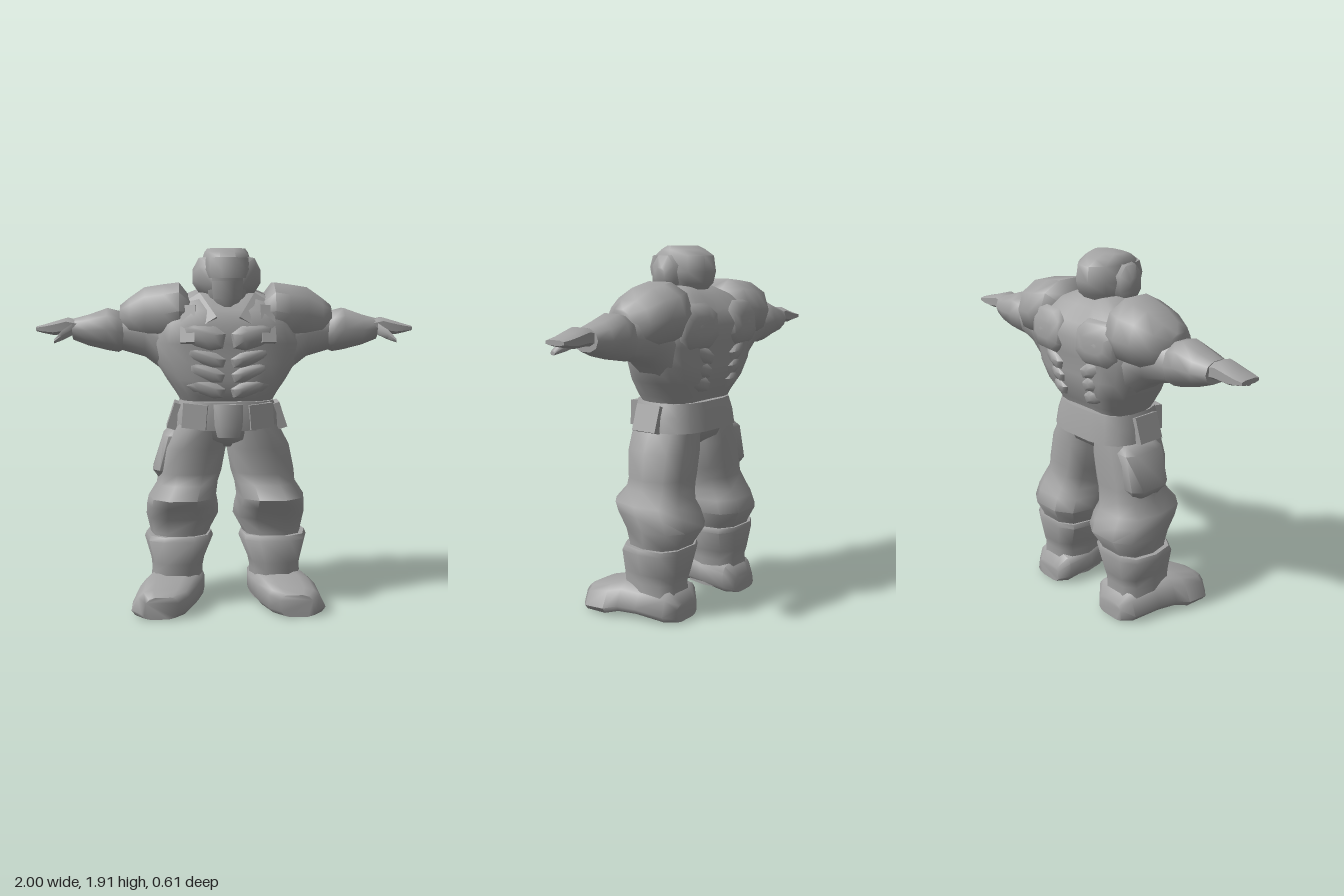
import * as THREE from 'three';
import { toCreasedNormals } from 'three/addons/utils/BufferGeometryUtils.js';

const grey = new THREE.MeshStandardMaterial({ color: 0xa3a3a3 });
grey.name = 'grey';

// For each loft axis: the two axes of the section plane, in winding order
const AXES = { x: ['y', 'z'], y: ['z', 'x'], z: ['x', 'y'] };

// Skin over sections [position, uMin, uMax, vMin, vMax]; n sets how square they are
function loft(axis, sections, { sides = 12, n = 2.5, shape = null } = {}) {
  const [u, v] = AXES[axis], pos = [], idx = [], p = new THREE.Vector3();
  const round = (t) => Math.sign(t) * Math.abs(t) ** (2 / n);
  const reach = round(Math.cos(Math.PI / sides));
  for (const [at, u0, u1, v0, v1] of sections) {
    for (let j = 0; j < sides; j++) {
      const a = ((j + 0.5) / sides) * Math.PI * 2;
      p[axis] = at;
      p[u] = (u0 + u1) / 2 + ((u1 - u0) / 2) * round(Math.cos(a)) / reach;
      p[v] = (v0 + v1) / 2 + ((v1 - v0) / 2) * round(Math.sin(a));
      if (shape) shape(p);
      pos.push(p.x, p.y, p.z);
    }
  }
  for (let i = 0; i < sections.length - 1; i++) {
    for (let j = 0; j < sides; j++) {
      const a = i * sides + j, b = i * sides + (j + 1) % sides;
      idx.push(a, b, a + sides, b, b + sides, a + sides);
    }
  }
  const end = (sections.length - 1) * sides;
  for (let j = 1; j < sides - 1; j++) idx.push(0, j + 1, j, end, end + j, end + j + 1);
  const geo = new THREE.BufferGeometry();
  geo.setAttribute('position', new THREE.Float32BufferAttribute(pos, 3));
  geo.setIndex(idx);
  return geo;
}

function place(geo, at, rot) {
  geo.applyMatrix4(new THREE.Matrix4().makeRotationFromEuler(new THREE.Euler(...rot)));
  return geo.translate(...at);
}
const box = (size, at, rot) => place(new THREE.BoxGeometry(...size), at, rot);

// Bevelled armour plate facing +z
function plate(w, h, d, at, rot) {
  return place(loft('z', [
    [-d, -w, w, -h, h], [d * 0.3, -w * 0.9, w * 0.9, -h * 0.85, h * 0.85], [d, -w * 0.55, w * 0.55, -h * 0.4, h * 0.4],
  ], { sides: 8, n: 3 }), at, rot);
}

function mirrored(geo) {
  const copy = geo.clone().scale(-1, 1, 1), index = copy.index;
  for (let i = 0; i < index.count; i += 3) {
    const a = index.getX(i);
    index.setX(i, index.getX(i + 1));
    index.setX(i + 1, a);
  }
  return copy;
}

export function createModel() {
  const model = new THREE.Group();
  model.name = 'armouredFigure';
  const add = (name, geo) => {
    const mesh = new THREE.Mesh(toCreasedNormals(geo, 1.0), grey);
    mesh.name = name;
    model.add(mesh);
  };
  const pair = (name, geo) => {
    add(name + 'Right', mirrored(geo));
    add(name + 'Left', geo);
  };

  // Torso, with a groove down the breastbone and a wider one down the spine
  add('torso', loft('y', [
    [1.1, -0.2, 0.14, -0.24, 0.24],
    [1.15, -0.22, 0.17, -0.265, 0.265],
    [1.23, -0.265, 0.185, -0.32, 0.32],
    [1.32, -0.28, 0.175, -0.375, 0.375],
    [1.42, -0.285, 0.18, -0.4, 0.4],
    [1.52, -0.315, 0.185, -0.38, 0.38],
    [1.59, -0.28, 0.15, -0.33, 0.33],
    [1.66, -0.21, 0.09, -0.25, 0.25],
    [1.71, -0.15, 0.03, -0.13, 0.13],
  ], {
    sides: 20, n: 2.7,
    shape: (p) => {
      const width = p.z > 0 ? 0.12 : 0.2;
      p.z -= Math.sign(p.z) * 0.045 * Math.max(0, 1 - Math.abs(p.x) / width);
    },
  }));

  // Chest and stomach plates, slanting up and outwards, and back muscles
  pair('chestPlate', plate(0.13, 0.075, 0.03, [0.14, 1.465, 0.158], [-0.1, 0.2, 0.25]));
  for (let i = 0; i < 3; i++) {
    pair('stomachPlate' + i, plate(0.12 - i * 0.008, 0.045, 0.02, [0.13 - i * 0.005, 1.355 - i * 0.08, 0.157], [0, 0.2, 0.3]));
    pair('backRib' + i, plate(0.12 - i * 0.01, 0.045, 0.02, [0.19 - i * 0.01, 1.39 - i * 0.075, -0.245 + i * 0.012], [0, Math.PI - 0.3, -0.4]));
  }
  pair('shoulderBlade', plate(0.13, 0.12, 0.025, [0.19, 1.52, -0.27], [0.1, Math.PI - 0.12, 0]));
  pair('vestStrap', box([0.075, 0.2, 0.03], [0.205, 1.52, 0.142], [-0.36, 0.2, 0.04]));
  pair('collar', box([0.07, 0.18, 0.05], [0.125, 1.59, 0.1], [-0.55, 0.25, -0.5]));

  // Helmeted head
  add('neck', loft('y', [[1.56, -0.14, 0.08, -0.12, 0.12], [1.72, -0.13, 0.08, -0.1, 0.1]]));
  add('head', loft('y', [
    [1.6, -0.02, 0.1, -0.04, 0.04],
    [1.66, -0.11, 0.12, -0.11, 0.11],
    [1.72, -0.175, 0.12, -0.13, 0.13],
    [1.78, -0.19, 0.13, -0.14, 0.14],
    [1.86, -0.18, 0.14, -0.125, 0.125],
    [1.89, -0.13, 0.1, -0.115, 0.115],
    [1.91, -0.07, 0.05, -0.1, 0.1],
  ], { sides: 10, n: 2.1 }));
  add('helmetBrow', loft('y', [
    [1.755, 0, 0.165, -0.1, 0.1], [1.8, 0, 0.165, -0.115, 0.115], [1.86, 0, 0.145, -0.11, 0.11],
  ], { sides: 10, n: 2 }));
  add('faceMask', loft('y', [
    [1.59, 0.04, 0.11, -0.03, 0.03], [1.65, 0.02, 0.135, -0.08, 0.08], [1.74, 0.02, 0.135, -0.09, 0.09],
  ], { sides: 8, n: 2 }));
  pair('earGuard', loft('x', [
    [0.08, 1.66, 1.87, -0.1, 0.11], [0.145, 1.68, 1.86, -0.07, 0.08], [0.178, 1.73, 1.8, -0.03, 0.035],
  ], { sides: 8, n: 2.3 }));

  // Arms, held out sideways
  pair('shoulderPad', loft('x', [
    [0.19, 1.5, 1.66, -0.2, 0.11],
    [0.25, 1.44, 1.735, -0.265, 0.15],
    [0.33, 1.42, 1.725, -0.285, 0.13],
    [0.43, 1.42, 1.71, -0.27, 0.09],
    [0.51, 1.44, 1.655, -0.21, 0.06],
    [0.56, 1.49, 1.615, -0.13, 0.02],
  ], { sides: 10, n: 2.2 }));
  pair('upperArm', loft('x', [
    [0.24, 1.18, 1.6, -0.22, 0.11],
    [0.33, 1.27, 1.6, -0.22, 0.09],
    [0.43, 1.345, 1.6, -0.2, 0.06],
    [0.57, 1.385, 1.57, -0.17, 0.03],
  ], { sides: 10 }));
  pair('forearm', loft('x', [
    [0.53, 1.39, 1.55, -0.16, 0.03],
    [0.57, 1.37, 1.585, -0.18, 0.05],
    [0.63, 1.38, 1.6, -0.19, 0.05],
    [0.73, 1.405, 1.565, -0.175, 0.04],
    [0.81, 1.435, 1.545, -0.15, 0.01],
  ], { sides: 10, n: 2.3 }));
  pair('hand', loft('x', [
    [0.78, 1.46, 1.535, -0.13, 0.01],
    [0.84, 1.465, 1.55, -0.135, 0.015],
    [0.91, 1.46, 1.53, -0.13, 0.01],
    [0.96, 1.47, 1.515, -0.13, 0.005],
    [1.0, 1.48, 1.505, -0.125, -0.005],
  ], { sides: 8, n: 3 }));
  pair('thumb', loft('x', [
    [0.81, 1.46, 1.52, -0.04, 0.02], [0.86, 1.435, 1.485, 0, 0.05], [0.9, 1.42, 1.44, 0.035, 0.065],
  ], { sides: 6 }));

  // Hips and belt
  add('hips', loft('y', [
    [0.87, -0.1, 0.07, -0.03, 0.03], [0.92, -0.18, 0.15, -0.18, 0.18], [1.0, -0.21, 0.17, -0.26, 0.26],
  ], { n: 3 }));
  add('belt', loft('y', [
    [0.97, -0.235, 0.175, -0.285, 0.285], [1.05, -0.225, 0.185, -0.275, 0.275], [1.12, -0.21, 0.175, -0.25, 0.25],
  ], { sides: 16, n: 3 }));
  add('beltBuckle', loft('y', [
    [0.94, 0.1, 0.225, -0.06, 0.06], [1.0, 0.1, 0.232, -0.075, 0.075], [1.11, 0.1, 0.2, -0.08, 0.08],
  ], { sides: 8, n: 4 }));
  pair('frontPouch', box([0.13, 0.13, 0.04], [0.17, 1.045, 0.152], [0, 0.3, 0.08]));
  pair('hipPouch', box([0.05, 0.14, 0.15], [0.275, 1.035, 0], [0, 0, 0.32]));

  // Legs and boots
  pair('leg', loft('y', [
    [0.3, -0.19, 0.09, 0.12, 0.4],
    [0.4, -0.225, 0.085, 0.085, 0.415],
    [0.48, -0.27, 0.105, 0.04, 0.435],
    [0.55, -0.25, 0.165, 0.045, 0.43],
    [0.6, -0.22, 0.195, 0.055, 0.42],
    [0.67, -0.2, 0.145, 0.045, 0.375],
    [0.73, -0.195, 0.13, 0.025, 0.37],
    [0.87, -0.2, 0.16, 0, 0.34],
    [1.0, -0.19, 0.165, 0.005, 0.27],
  ], { sides: 10, n: 2.6 }));
  pair('bootShaft', loft('y', [
    [0.03, -0.22, 0.1, 0.13, 0.42],
    [0.19, -0.2, 0.115, 0.13, 0.405],
    [0.24, -0.215, 0.12, 0.12, 0.41],
    [0.36, -0.235, 0.115, 0.07, 0.445],
    [0.385, -0.23, 0.1, 0.08, 0.435],
  ], { sides: 10, n: 2.8 }));
  // Feet flare outwards towards the sole
  pair('foot', loft('z', [
    [-0.24, 0.18, 0.36, 0, 0.1],
    [-0.19, 0.13, 0.42, 0, 0.17],
    [-0.04, 0.12, 0.46, 0.02, 0.18],
    [0.06, 0.13, 0.49, 0.02, 0.19],
    [0.13, 0.16, 0.515, 0, 0.175],
    [0.25, 0.21, 0.515, 0, 0.145],
    [0.3, 0.27, 0.46, 0, 0.12],
  ], { n: 3.8, shape: (p) => { p.x -= Math.max(0, p.y - 0.03) * 1.5 * Math.max(0, p.x - 0.2); } }));

  // Pouch strapped to the right thigh
  add('thighPouch', loft('y', [
    [0.7, -0.14, 0.04, -0.37, -0.2], [0.745, -0.17, 0.08, -0.4, -0.2], [0.93, -0.17, 0.08, -0.34, -0.2], [0.97, -0.14, 0.05, -0.3, -0.2],
  ], { sides: 8, n: 3.5 }));
  return model;
}
